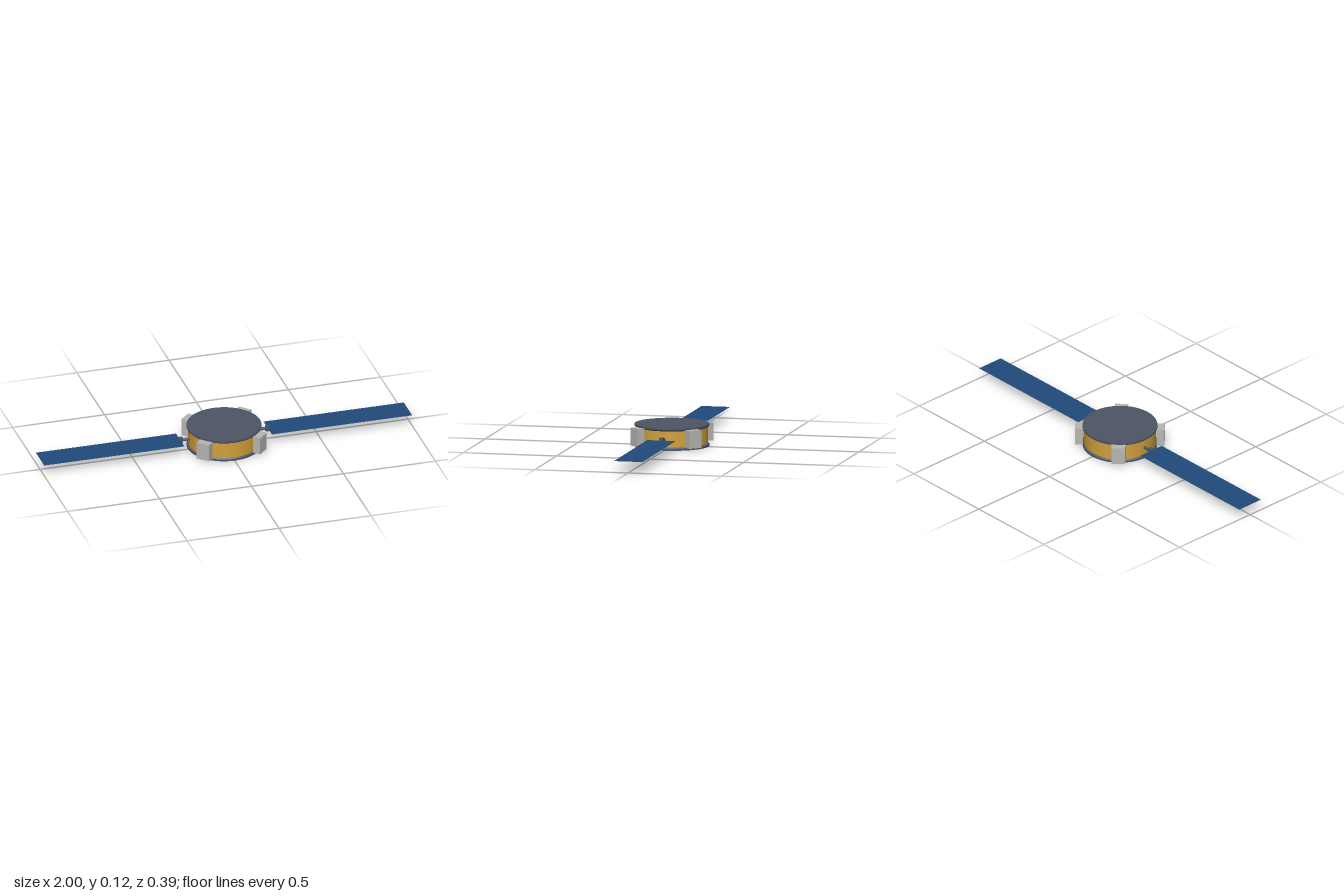
import * as THREE from 'three';

const mat = (name, color, side = THREE.FrontSide) => {
  const m = new THREE.MeshStandardMaterial({ color, side });
  m.name = name;
  return m;
};

export function createModel() {
  const slate = mat('slate', 0x4d5566);
  const gold = mat('gold foil', 0xd1a03c);
  const grey = mat('light grey', 0xb6b6b2);
  const blue = mat('solar blue', 0x204b7a, THREE.DoubleSide);

  const model = new THREE.Group();
  model.name = 'satellite';
  const add = (parent, name, geometry, material, x = 0, y = 0, z = 0) => {
    const mesh = new THREE.Mesh(geometry, material);
    mesh.name = name;
    mesh.position.set(x, y, z);
    parent.add(mesh);
    return mesh;
  };

  // Round body between two chamfered end plates
  const SEG = 64, MID = 0.0585;
  add(model, 'drum', new THREE.CylinderGeometry(0.188, 0.188, 0.09, SEG, 1, true), gold, 0, MID);
  for (const s of [1, -1]) {
    const plate = new THREE.Group();
    plate.name = s > 0 ? 'topPlate' : 'bottomPlate';
    plate.position.y = MID;
    if (s < 0) plate.rotation.x = Math.PI;
    add(plate, 'plateRim', new THREE.CylinderGeometry(0.195, 0.195, 0.01, SEG), slate, 0, 0.0535);
    add(plate, 'plateChamfer', new THREE.CylinderGeometry(0.195, 0.188, 0.006, SEG, 1, true), slate, 0, 0.0455);
    model.add(plate);
  }

  // Four equipment boxes on the diagonals, each with a thin slot cover
  for (let i = 0; i < 4; i++) {
    const pod = new THREE.Group();
    pod.name = 'equipmentBox' + (i + 1);
    pod.rotation.y = Math.PI / 4 + i * Math.PI / 2;
    add(pod, 'boxBody', new THREE.BoxGeometry(0.072, 0.094, 0.042), grey, 0, 0.0605, 0.2115);
    add(pod, 'slotCover', new THREE.BoxGeometry(0.05, 0.004, 0.002), grey, 0, 0.0985, 0.233);
    model.add(pod);
  }

  // Solar wings on short shafts
  for (const s of [1, -1]) {
    const wing = new THREE.Group();
    wing.name = s > 0 ? 'leftWing' : 'rightWing';
    wing.position.y = 0.06;
    add(wing, 'shaft', new THREE.CylinderGeometry(0.008, 0.008, 0.05, 16), slate, s * 0.205).rotation.z = Math.PI / 2;
    add(wing, 'hinge', new THREE.BoxGeometry(0.022, 0.027, 0.022), slate, s * 0.236);
    add(wing, 'solarPanel', new THREE.PlaneGeometry(0.762, 0.153), blue, s * 0.619).rotation.x = -Math.PI / 2;
    model.add(wing);
  }

  return model;
}
